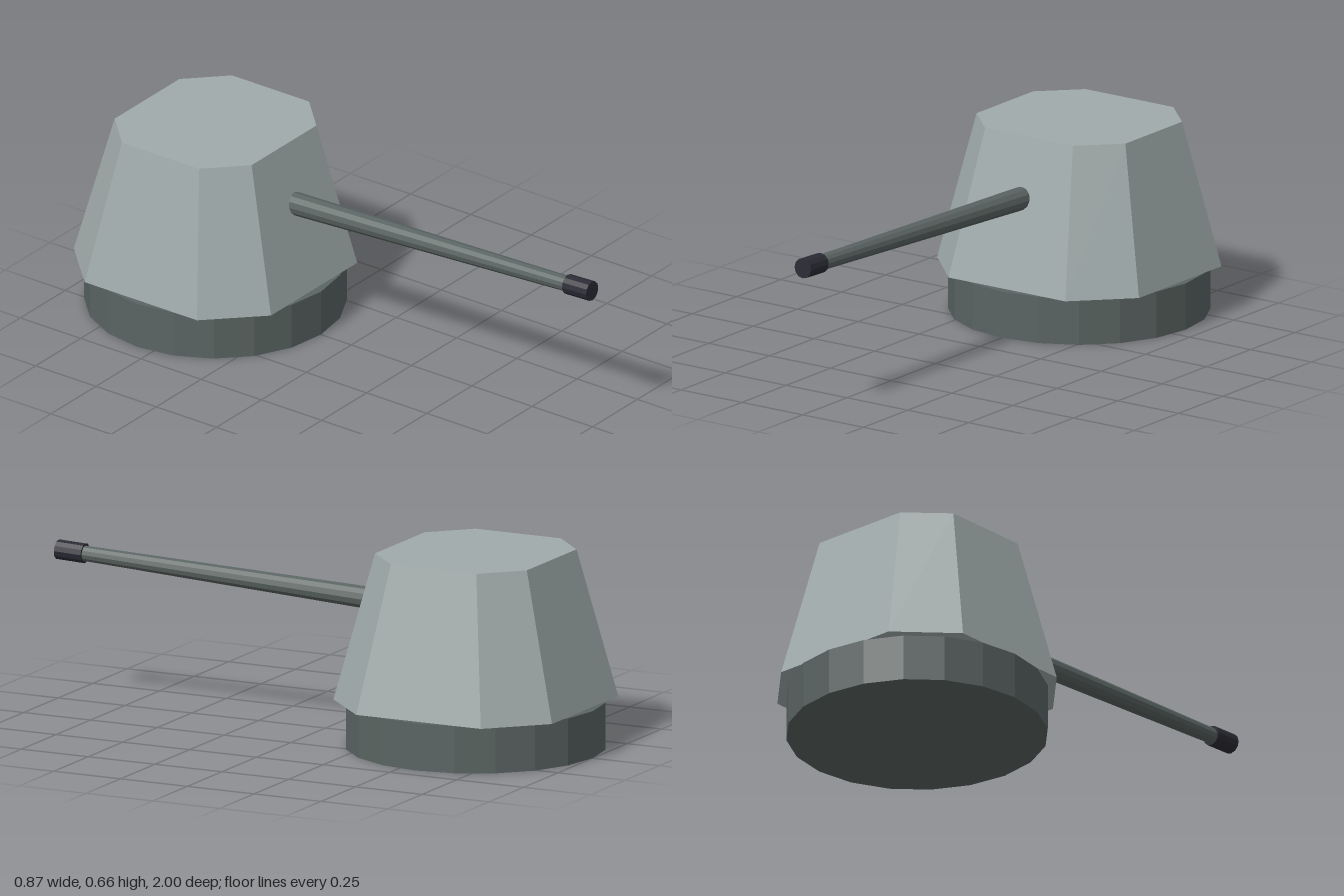
import * as THREE from 'three';
import { ConvexGeometry } from 'three/addons/geometries/ConvexGeometry.js';

const CENTER_Z = -0.563;

function material(name, color) {
  const m = new THREE.MeshStandardMaterial({ color });
  m.name = name;
  return m;
}

// Faceted cylinder with its bottom at the local origin, rising along +y
function facetedCylinder(rTop, rBottom, height, sides) {
  const g = new THREE.CylinderGeometry(rTop, rBottom, height, sides).toNonIndexed();
  g.translate(0, height / 2, 0);
  g.computeVertexNormals();
  return g;
}

// Rectangle with cut corners at height y: half sizes hx, hz, flat edges ending at cx, cz
function cutCornerRing(y, hx, hz, cx, cz) {
  const points = [];
  for (const sx of [-1, 1]) for (const sz of [-1, 1]) {
    points.push(new THREE.Vector3(sx * hx, y, sz * cz), new THREE.Vector3(sx * cx, y, sz * hz));
  }
  return points;
}

export function createModel() {
  const model = new THREE.Group();
  model.name = 'gunTurret';

  const armor = material('light grey armor', 0xa0aaaa);
  const steel = material('dark grey steel', 0x5a6462);
  const black = material('black metal', 0x2b2b35);

  function add(parent, name, geometry, mat) {
    const mesh = new THREE.Mesh(geometry, mat);
    mesh.name = name;
    parent.add(mesh);
    return mesh;
  }

  // Round base ring
  add(model, 'base', facetedCylinder(0.437, 0.437, 0.16, 20), steel).position.z = CENTER_Z;

  // Tapered eight-sided housing
  const housing = new ConvexGeometry([
    ...cutCornerRing(0.161, 0.415, 0.409, 0.24, 0.233),
    ...cutCornerRing(0.66, 0.306, 0.284, 0.18, 0.16),
  ]);
  add(model, 'housing', housing, armor).position.z = CENTER_Z;

  // Slightly raised gun, pivoted inside the housing
  const gun = new THREE.Group();
  gun.name = 'gun';
  gun.position.set(0, 0.455, -0.3);
  gun.rotation.x = Math.PI / 2 - 0.04;
  add(gun, 'barrel', facetedCylinder(0.026, 0.04, 1.25, 12), steel);
  add(gun, 'muzzle', facetedCylinder(0.034, 0.034, 0.1, 12), black).position.y = 1.2;
  model.add(gun);

  return model;
}
